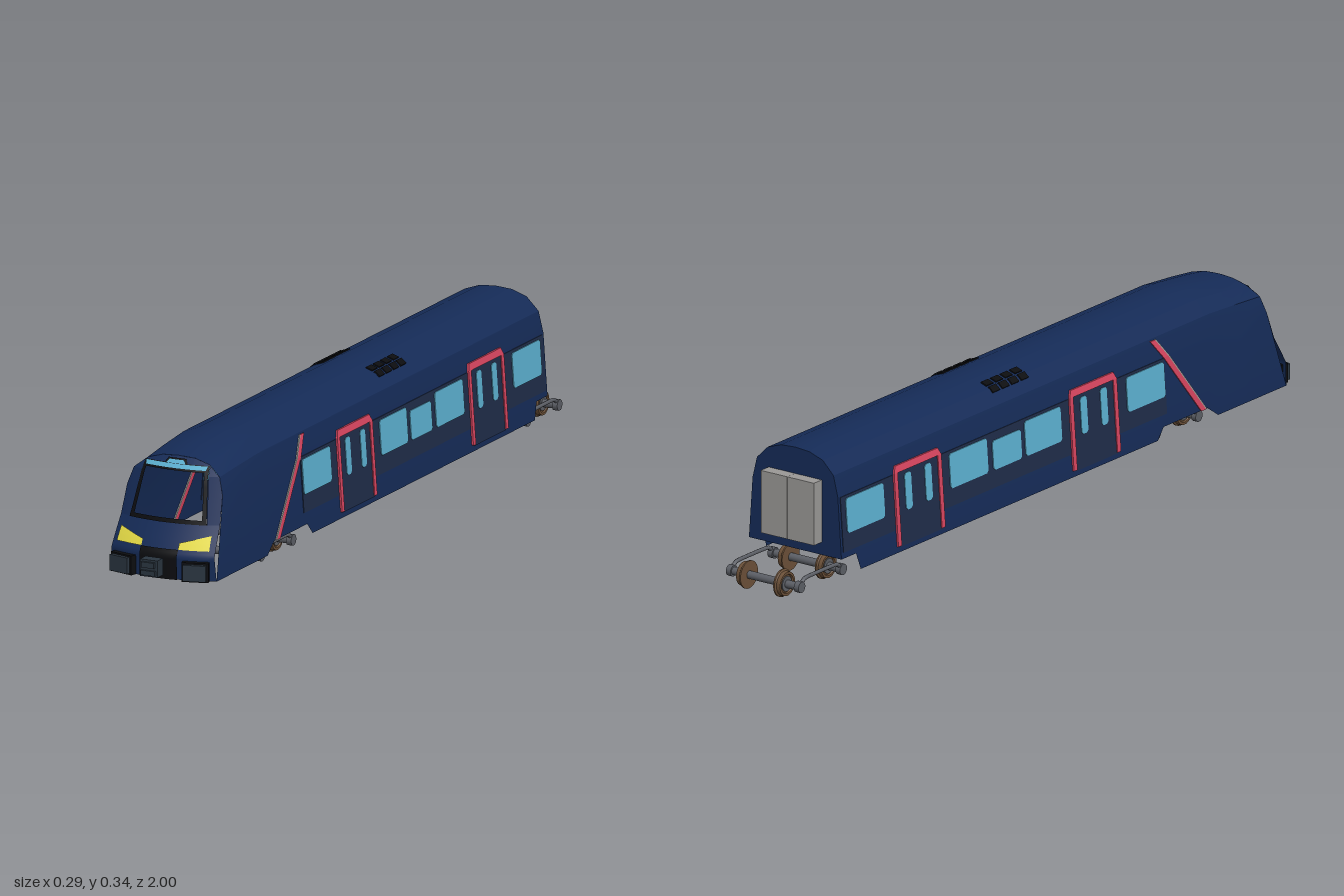
import * as THREE from 'three';
import { toCreasedNormals } from 'three/addons/utils/BufferGeometryUtils.js';

const mat = (color) => new THREE.MeshStandardMaterial({ color, side: THREE.DoubleSide });
const M = {
  navy: mat(0x152b57), door: mat(0x1f2c48), glass: mat(0x5cb0d0), red: mat(0xd8455f),
  yellow: mat(0xe6dc46), black: mat(0x0c0d10), slate: mat(0x2a3540), pale: mat(0x9a9896),
  steel: mat(0x5c5f66), brown: mat(0x6b5038),
};

// Half cross-section of the body, sill to ridge
const PROFILE = [[0.142, 0.042], [0.128, 0.24], [0.115, 0.293], [0.083, 0.325], [0.043, 0.339], [0, 0.342]];
const REAR = -0.858;
const NOSE = [[0.042, 0.94], [0.1, 0.942], [0.13, 0.925], [0.171, 0.9], [0.283, 0.86], [0.32, 0.83]];

// Piecewise linear lookup
function lookup(table, t) {
  let i = 1;
  while (i < table.length - 1 && t > table[i][0]) i++;
  const [a, b] = [table[i - 1], table[i]];
  return a[1] + (b[1] - a[1]) * (t - a[0]) / (b[0] - a[0]);
}
const sideX = (y) => lookup(PROFILE.slice(0, 3).map(([x, v]) => [v, x]), y);
const roofY = (x) => lookup(PROFILE.slice(1).reverse(), x);
const noseZ = (x, y) => lookup(NOSE, y) - 1.4 * x * x;
const lowered = (y, s) => (y > 0.24 ? 0.24 + (y - 0.24) * s : y);

function createModel() {
  const model = new THREE.Group();
  model.name = 'trainCar';

  function add(name, geometry, material, parent = model) {
    const mesh = new THREE.Mesh(geometry, material);
    mesh.name = name;
    parent.add(mesh);
    return mesh;
  }
  function box(name, w, h, d, x, y, z, material, parent) {
    const mesh = add(name, new THREE.BoxGeometry(w, h, d), material, parent);
    mesh.position.set(x, y, z);
    return mesh;
  }
  const fullWidth = (half) => [...half, ...half.slice(0, -1).reverse().map(([x, y]) => [-x, y])];

  // Body shell: stations of [z, sill height, roof height factor], the last one follows the nose
  const stations = [[REAR, 0.085, 1], [-0.8, 0.085, 1], [-0.785, 0.042, 1], [0.4, 0.042, 1], [0.425, 0.07, 1],
    [0.6, 0.07, 1], [0.64, 0.042, 1], [0.75, 0.042, 0.89], [null, 0.042, 0.78]];
  const pos = [], index = [], n = PROFILE.length * 2 - 1;
  stations.forEach(([z, sill, s], i) => {
    const half = PROFILE.map(([x, y], j) => (j ? [x, lowered(y, s)] : [sideX(sill), sill]));
    fullWidth(half).forEach(([x, y], j) => {
      pos.push(x, y, z ?? noseZ(x, y));
      if (i && j) {
        const d = i * n + j, c = d - 1, b = d - n, a = b - 1;
        index.push(a, b, c, b, d, c);
      }
    });
  });
  const shell = new THREE.BufferGeometry();
  shell.setAttribute('position', new THREE.Float32BufferAttribute(pos, 3));
  shell.setIndex(index);
  add('bodyShell', toCreasedNormals(shell, 0.4), M.navy);

  // Rear wall and gangway
  const wall = fullWidth([[sideX(0.085), 0.085], ...PROFILE.slice(1)]).map(([x, y]) => new THREE.Vector2(x, y));
  add('rearWall', new THREE.ShapeGeometry(new THREE.Shape(wall)).rotateY(Math.PI), M.navy).position.z = REAR;
  for (const s of [-1, 1]) box('gangwayDoor', 0.0795, 0.158, 0.037, s * 0.04, 0.196, -0.871, M.pale);

  // Four-cornered patch laid on the curved nose
  function nosePatch(name, corners, material, offset = 0, seg = 6) {
    const [a, b, c, d] = corners;
    const g = new THREE.PlaneGeometry(1, 1, seg, seg), p = g.attributes.position;
    for (let i = 0; i < p.count; i++) {
      const u = p.getX(i) + 0.5, v = p.getY(i) + 0.5;
      const [x, y] = [0, 1].map((k) => (a[k] * (1 - u) + b[k] * u) * (1 - v) + (d[k] * (1 - u) + c[k] * u) * v);
      p.setXYZ(i, x, y, noseZ(x, y) + offset);
    }
    g.computeVertexNormals();
    add(name, g, material);
  }
  // Same patch on both halves, mirrored with the winding kept
  function nosePair(name, corners, material, offset, seg) {
    nosePatch(name, corners, material, offset, seg);
    const [a, b, c, d] = corners.map(([x, y]) => [-x, y]);
    nosePatch(name, [b, a, d, c], material, offset, seg);
  }
  const sym = (x0, y0, x1, y1) => [[-x0, y0], [x0, y0], [x1, y1], [-x1, y1]];

  // Nose skin around the open windscreen
  nosePatch('noseMask', sym(0.142, 0.042, sideX(0.171), 0.171), M.navy, 0, 18);
  const inner = [[0.103, 0.171], [0.094, 0.24], [0.0886, 0.281], [0.086, 0.301], [0.043, 0.301], [0, 0.301]];
  const outer = [[sideX(0.171), 0.171], ...PROFILE.slice(1).map(([x, y]) => [x, lowered(y, 0.78)])];
  for (let i = 1; i < inner.length; i++) {
    nosePair('windscreenSurround', [inner[i - 1], outer[i - 1], outer[i], inner[i]], M.navy, 0, 4);
  }
  // Windscreen frame and destination strip
  nosePair('windscreenPillar', [[0.092, 0.171], [0.103, 0.171], [0.086, 0.301], [0.077, 0.301]], M.black, 0.003);
  nosePatch('windscreenSill', sym(0.103, 0.171, 0.102, 0.181), M.black, 0.004, 12);
  nosePatch('windscreenHeader', sym(0.088, 0.289, 0.086, 0.304), M.black, 0.003, 12);
  nosePatch('displayStrip', sym(0.08, 0.294, 0.082, 0.303), M.glass, 0.005, 12);
  nosePatch('topLampSurround', sym(0.032, 0.302, 0.024, 0.315), M.black, 0.004);
  nosePatch('topLamp', sym(0.026, 0.304, 0.019, 0.312), M.glass, 0.006);

  // Headlights, bumpers and coupler
  nosePair('headlight', [[0.049, 0.115], [0.124, 0.115], [0.121, 0.149], [0.049, 0.13]], M.yellow, 0.004, 10);
  nosePatch('couplerRecess', sym(0.05, 0.042, 0.05, 0.115), M.black, 0.004, 10);
  for (const s of [-1, 1]) {
    const bumper = new THREE.Group();
    bumper.name = 'bumper';
    bumper.position.set(s * 0.097, 0.066, 0.935);
    bumper.rotation.y = s * 0.27;
    box('bumperFrame', 0.066, 0.048, 0.02, 0, 0, -0.002, M.black, bumper);
    box('bumperPad', 0.056, 0.04, 0.03, 0, 0, 0.003, M.slate, bumper);
    model.add(bumper);
  }
  box('couplerShank', 0.03, 0.03, 0.06, 0, 0.076, 0.95, M.black);
  box('couplerHead', 0.046, 0.042, 0.03, 0, 0.077, 0.977, M.slate);
  box('couplerFace', 0.034, 0.014, 0.012, 0, 0.086, 0.993, M.slate);
  box('couplerFoot', 0.038, 0.012, 0.01, 0, 0.066, 0.993, M.slate);

  // Plate through the side wall, outlined in [z, y] and bent to the wall's slope
  function sidePlate(name, outline, material, depth) {
    for (const s of [1, -1]) {
      const shape = new THREE.Shape(outline.map(([z, y]) => new THREE.Vector2(-s * z, y)));
      const g = new THREE.ExtrudeGeometry(shape, { depth, bevelEnabled: false });
      const p = g.attributes.position;
      for (let i = 0; i < p.count; i++) {
        const u = p.getX(i), y = p.getY(i);
        p.setXYZ(i, s * (sideX(y) + p.getZ(i) - depth / 2), y, -s * u);
      }
      g.computeVertexNormals();
      add(name, g, material);
    }
  }
  // Rectangle with clipped corners
  const pane = (z0, z1, y0, y1, c = 0.006) => [[z0 + c, y0], [z1 - c, y0], [z1, y0 + c], [z1, y1 - c],
    [z1 - c, y1], [z0 + c, y1], [z0, y1 - c], [z0, y0 + c]];

  // Side windows with a dark band behind them
  for (const [z0, z1, top] of [[0.286, 0.436, 0.231], [-0.12, 0.024, 0.231], [-0.249, -0.136, 0.217],
    [-0.42, -0.27, 0.231], [-0.832, -0.682, 0.231]]) {
    sidePlate('sideWindow', pane(z0, z1, 0.144, top), M.glass, 0.007);
  }
  for (const [z0, z1] of [[0.252, 0.44], [-0.449, 0.058], [-0.85, -0.642]]) {
    sidePlate('windowBand', pane(z0, z1, 0.1, 0.238, 0.001), M.door, 0.003);
  }

  // Doors with a red surround
  for (const z of [0.155, -0.545]) {
    sidePlate('doorLeaves', pane(z - 0.085, z + 0.085, 0.055, 0.239, 0.001), M.door, 0.004);
    for (const s of [-1, 1]) {
      sidePlate('doorWindow', pane(z + s * 0.04 - 0.013, z + s * 0.04 + 0.013, 0.139, 0.231), M.glass, 0.007);
      sidePlate('doorPost', [[z + s * 0.094, 0.058], [z + s * 0.08, 0.058], [z + s * 0.08, 0.24],
        [z + s * 0.094, 0.24]], M.red, 0.009);
    }
    sidePlate('doorLintel', [[z - 0.094, 0.24], [z + 0.094, 0.24], [z + 0.085, 0.257], [z - 0.085, 0.257]], M.red, 0.009);
  }

  // Slanted stripe, cut where the wall bends
  const stripeZ = (y) => 0.59 - (y - 0.062) * 0.79;
  const stripe = (name, from, to, material, depth) => [[0.07, 0.24], [0.24, 0.288]].forEach(([y0, y1]) =>
    sidePlate(name, [[stripeZ(y0) + from, y0], [stripeZ(y0) + to, y0], [stripeZ(y1) + to, y1],
      [stripeZ(y1) + from, y1]], material, depth));
  stripe('slantStripe', -0.011, 0.007, M.red, 0.006);
  stripe('slantStripeEdge', 0.007, 0.012, M.pale, 0.006);

  // Roof grilles, two slats each
  for (const s of [-1, 1]) for (let i = 0; i < 4; i++) for (const x of [0.065, 0.086]) {
    const grille = box('roofGrille', 0.018, 0.006, 0.028, s * x, roofY(x), -0.18 + i * 0.038, M.black);
    grille.rotation.z = -s * Math.atan2(roofY(x - 0.005) - roofY(x + 0.005), 0.01);
  }

  // Bogies: flanged wheels, axles, axle boxes and side frames
  const wheelProfile = [[0.006, -0.009], [0.035, -0.009], [0.035, -0.005], [0.031, -0.002], [0.03, 0.008], [0.024, 0.008],
    [0.022, 0.004], [0.006, 0.004]].map(([r, h]) => new THREE.Vector2(r, h));
  const wheelGeo = toCreasedNormals(new THREE.LatheGeometry(wheelProfile, 24), 0.5).rotateZ(-Math.PI / 2);
  const rod = (r, l) => new THREE.CylinderGeometry(r, r, l, 16).rotateZ(Math.PI / 2);
  for (const z of [0.538, -0.88]) {
    const bogie = new THREE.Group();
    bogie.name = 'bogie';
    bogie.position.set(0.01, 0.035, z);
    for (const e of [-1, 1]) {
      add('axle', rod(0.01, 0.21), M.steel, bogie).position.z = e * 0.083;
      for (const s of [-1, 1]) {
        const wheel = add('wheel', wheelGeo, M.brown, bogie);
        wheel.position.set(s * 0.058, 0, e * 0.083);
        if (s < 0) wheel.rotation.y = Math.PI;
        add('hub', rod(0.019, 0.008), M.steel, bogie).position.set(s * 0.061, 0, e * 0.083);
        add('axleBox', rod(0.014, 0.014), M.steel, bogie).position.set(s * 0.102, 0, e * 0.083);
      }
    }
    for (const s of [-1, 1]) {
      const path = new THREE.CatmullRomCurve3([[0.004, -0.083], [0.018, -0.06], [0.018, 0.06], [0.004, 0.083]]
        .map(([y, pz]) => new THREE.Vector3(s * 0.103, y, pz)), false, 'catmullrom', 0.2);
      add('sideFrame', new THREE.TubeGeometry(path, 16, 0.005, 8), M.steel, bogie);
    }
    model.add(bogie);
  }
  return model;
}

export { createModel };
